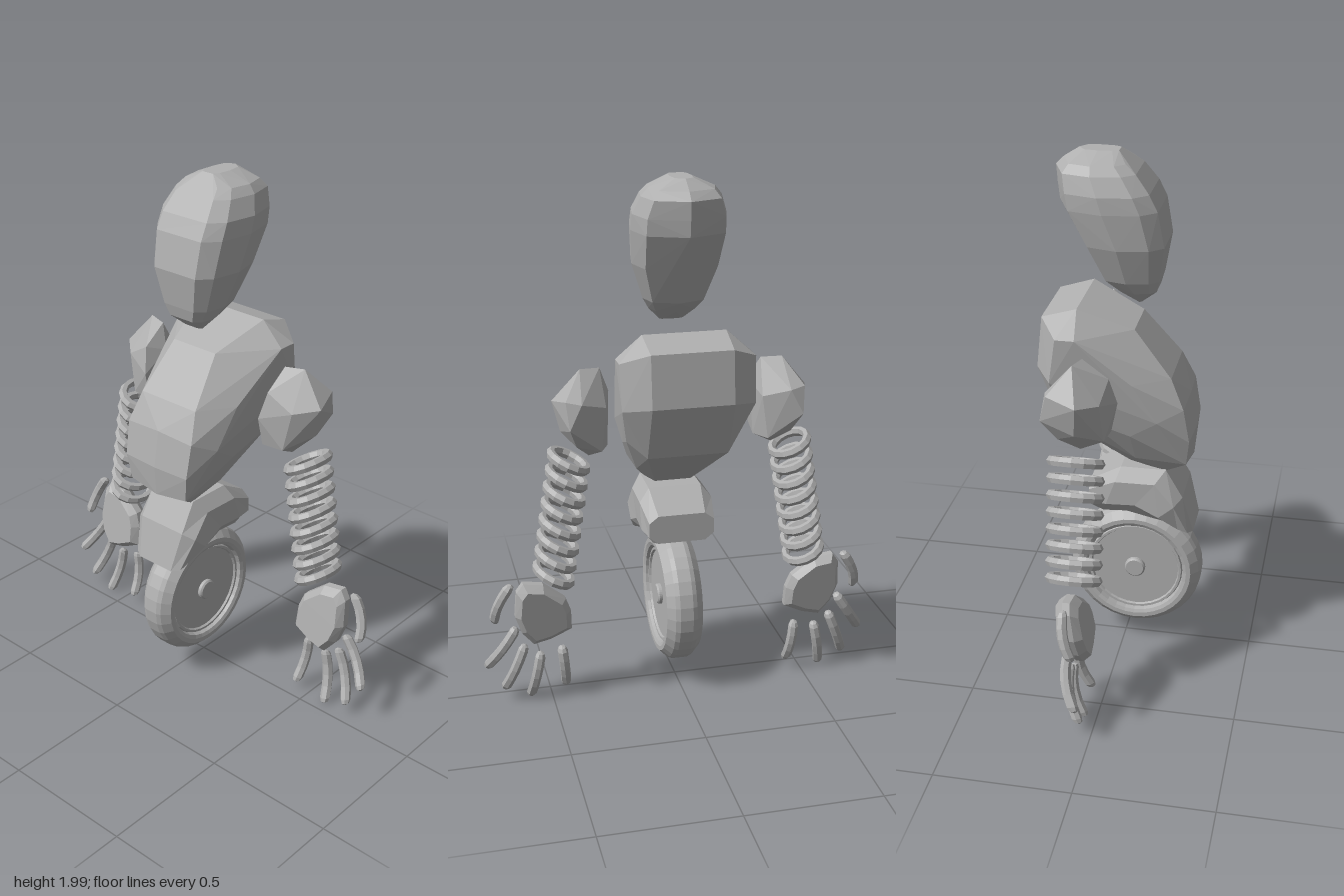
import * as THREE from 'three';
import { ConvexGeometry } from 'three/addons/geometries/ConvexGeometry.js';

const grey = new THREE.MeshStandardMaterial({ color: 0xb0b0b0, flatShading: true });
grey.name = 'plain grey';

const V = (x, y, z) => new THREE.Vector3(x, y, z);

function mesh(name, geometry, parent) {
  const m = new THREE.Mesh(geometry, grey);
  m.name = name;
  parent.add(m);
  return m;
}

// faceted solid around points; s = -1 mirrors it
const hull = (pts, s = 1) => new ConvexGeometry(pts.map(p => V(p[0] * s, p[1], p[2])));
const bothSides = pts => pts.concat(pts.map(p => [-p[0], p[1], p[2]]));

// head: level sections [y, front z, back z, half width]
function headPoints() {
  const sections = [
    [1.455, 0.068, 0.045, 0.045], [1.5, 0.12, -0.03, 0.088], [1.545, 0.132, -0.092, 0.115],
    [1.68, 0.153, -0.165, 0.16], [1.81, 0.13, -0.238, 0.172], [1.87, 0.1, -0.245, 0.17],
    [1.935, 0.05, -0.25, 0.145], [1.965, 0.012, -0.22, 0.12], [2.0, -0.02, -0.165, 0.04],
  ];
  const half = [];
  for (const [y, f, b, w] of sections) {
    const d = f - b;
    half.push([0.6 * w, y, f], [0.88 * w, y, f - 0.15 * d], [w, y, f - 0.5 * d],
      [0.82 * w, y, b + 0.16 * d], [0, y, b]);
  }
  return bothSides(half);
}

const torsoHalf = [
  [0.155, 1.455, -0.15], [0.15, 1.415, -0.28], [0.25, 1.37, -0.21], [0.25, 1.37, -0.14],
  [0.245, 1.2, -0.235], [0.15, 1.22, -0.3], [0.15, 1.01, -0.215], [0.205, 1.04, -0.1],
  [0.1, 1.37, 0.05], [0.215, 1.2, 0.06], [0.13, 1.2, 0.19], [0.2, 1.05, 0.15],
  [0.155, 1.09, 0.24], [0, 1.1, 0.247], [0.15, 0.96, 0.262], [0, 0.96, 0.27],
  [0.135, 0.86, 0.25], [0, 0.845, 0.262], [0.085, 0.8, 0.165], [0.07, 0.825, 0.03],
  [0.135, 0.87, 0.06], [0.19, 0.985, 0.05],
];

// pelvis: sections swept over the wheel, [outer z, outer y, inner z, inner y, half width]
function pelvisGeometry() {
  const stations = [
    [0.275, 0.547, 0.2, 0.57, 0.11], [0.235, 0.7, 0.12, 0.6, 0.142],
    [0.17, 0.81, 0.02, 0.62, 0.138], [0, 0.81, -0.07, 0.615, 0.14],
    [-0.12, 0.74, -0.12, 0.63, 0.125],
  ];
  const ring = [[-0.72, 0], [0.72, 0], [1, 0.25], [1, 0.75], [0.72, 1], [-0.72, 1], [-1, 0.75], [-1, 0.25]];
  const pos = [], idx = [], n = ring.length;
  for (const [oz, oy, iz, iy, w] of stations)
    for (const [u, t] of ring) pos.push(u * w, oy + (iy - oy) * t, oz + (iz - oz) * t);
  for (let k = 0; k < stations.length - 1; k++)
    for (let j = 0; j < n; j++) {
      const a = k * n + j, b = k * n + (j + 1) % n;
      idx.push(a, b, b + n, a, b + n, a + n);
    }
  const last = (stations.length - 1) * n;
  for (let j = 1; j < n - 1; j++) idx.push(0, j + 1, j, last, last + j, last + j + 1);
  const g = new THREE.BufferGeometry();
  g.setAttribute('position', new THREE.Float32BufferAttribute(pos, 3));
  g.setIndex(idx);
  g.computeVertexNormals();
  return g;
}

// wheel: half profile [radius, offset], mirrored across the middle
function wheelGeometry() {
  const side = [[0, 0.064], [0.034, 0.064], [0.04, 0.058], [0.04, 0.046], [0.17, 0.046],
    [0.174, 0.054], [0.183, 0.054], [0.187, 0.046], [0.192, 0.064], [0.205, 0.07],
    [0.222, 0.07], [0.25, 0.042], [0.257, 0.025]];
  const profile = side.map(([r, h]) => new THREE.Vector2(r, -h))
    .concat(side.slice().reverse().map(([r, h]) => new THREE.Vector2(r, h)));
  return new THREE.LatheGeometry(profile, 32).rotateZ(Math.PI / 2);
}

const shoulder = [
  [0.3, 1.33, -0.1], [0.375, 1.335, -0.12], [0.3, 1.26, -0.005], [0.4, 1.2, -0.02],
  [0.475, 1.215, -0.09], [0.44, 1.24, -0.2], [0.43, 1.14, -0.225], [0.447, 1.1, -0.1],
  [0.385, 1.23, -0.215], [0.29, 1.2, -0.17], [0.265, 1.235, -0.08], [0.28, 1.16, 0.022],
  [0.285, 1.05, 0], [0.345, 1.0, -0.1], [0.275, 1.035, -0.1], [0.31, 1.04, -0.18],
  [0.4, 1.06, -0.17], [0.37, 1.05, -0.01],
];

// palm: outline with inset front and back faces, leaning forward at the bottom
function palmPoints() {
  const outline = [[0.425, 0.38], [0.445, 0.435], [0.53, 0.505], [0.605, 0.517], [0.63, 0.48],
    [0.637, 0.375], [0.612, 0.3], [0.567, 0.245], [0.5, 0.262], [0.422, 0.3]];
  const pts = [];
  for (const [x, y] of outline) {
    const z = -0.065 - 0.14 * (y - 0.25);
    pts.push([x, y, z + 0.014], [x, y, z - 0.014]);
    const ix = 0.535 + (x - 0.535) * 0.8, iy = 0.38 + (y - 0.38) * 0.8;
    pts.push([ix, iy, z + 0.042], [ix, iy, z - 0.042]);
  }
  return pts;
}

// finger: capsule between two points, bowed by (bx, bz) in the middle
function fingerGeometry(a, b, bx, bz, s) {
  const r = 0.02, len = a.distanceTo(b);
  const g = new THREE.CapsuleGeometry(r, len - 2 * r, 2, 7, 4);
  g.applyQuaternion(new THREE.Quaternion().setFromUnitVectors(V(0, 1, 0), b.clone().sub(a).normalize()));
  const dir = b.clone().sub(a).normalize(), p = V(0, 0, 0), pos = g.attributes.position;
  const mid = a.clone().add(b).multiplyScalar(0.5);
  for (let i = 0; i < pos.count; i++) {
    p.fromBufferAttribute(pos, i);
    const t = p.dot(dir) / (len / 2), bow = 1 - t * t;
    p.add(mid);
    pos.setXYZ(i, s * (p.x + bx * bow), p.y, p.z + bz * bow);
  }
  // mirrored copies need their corners reversed
  if (s < 0) g.setIndex(Array.from(g.index.array).reverse());
  g.computeVertexNormals();
  return g;
}

function arm(s, label) {
  const g = new THREE.Group();
  g.name = label + 'Arm';
  mesh('shoulder', hull(shoulder, s), g);

  // stacked oval rings
  const rings = 8;
  for (let i = 0; i < rings; i++) {
    const t = i / (rings - 1);
    const ring = new THREE.TorusGeometry(0.087, 0.019, 6, 14).rotateX(Math.PI / 2).scale(0.82, 1, 1);
    const m = mesh('armRing', ring, g);
    m.position.set(s * (0.42 + 0.067 * t), 0.985 - 0.443 * t, -0.1);
    m.rotation.z = s * 0.46;
  }

  mesh('palm', hull(palmPoints(), s), g);
  mesh('thumb', fingerGeometry(V(0.648, 0.515, -0.105), V(0.713, 0.345, -0.06), 0.017, -0.012, s), g);
  const fingers = [[0.632, 0.33, 0.75, 0.152], [0.602, 0.255, 0.683, 0.052],
    [0.543, 0.217, 0.584, 0.01], [0.463, 0.232, 0.443, 0.042]];
  for (const [x0, y0, x1, y1] of fingers)
    mesh('finger', fingerGeometry(V(x0, y0, -0.09), V(x1, y1, -0.043), 0, -0.022, s), g);
  return g;
}

export function createModel() {
  const model = new THREE.Group();
  model.name = 'wheeledRobot';
  mesh('head', hull(headPoints()), model);
  mesh('torso', hull(bothSides(torsoHalf)), model);
  mesh('pelvis', pelvisGeometry(), model);
  mesh('wheel', wheelGeometry(), model).position.set(0, 0.342, 0.045);
  model.add(arm(1, 'left'), arm(-1, 'right'));
  return model;
}
